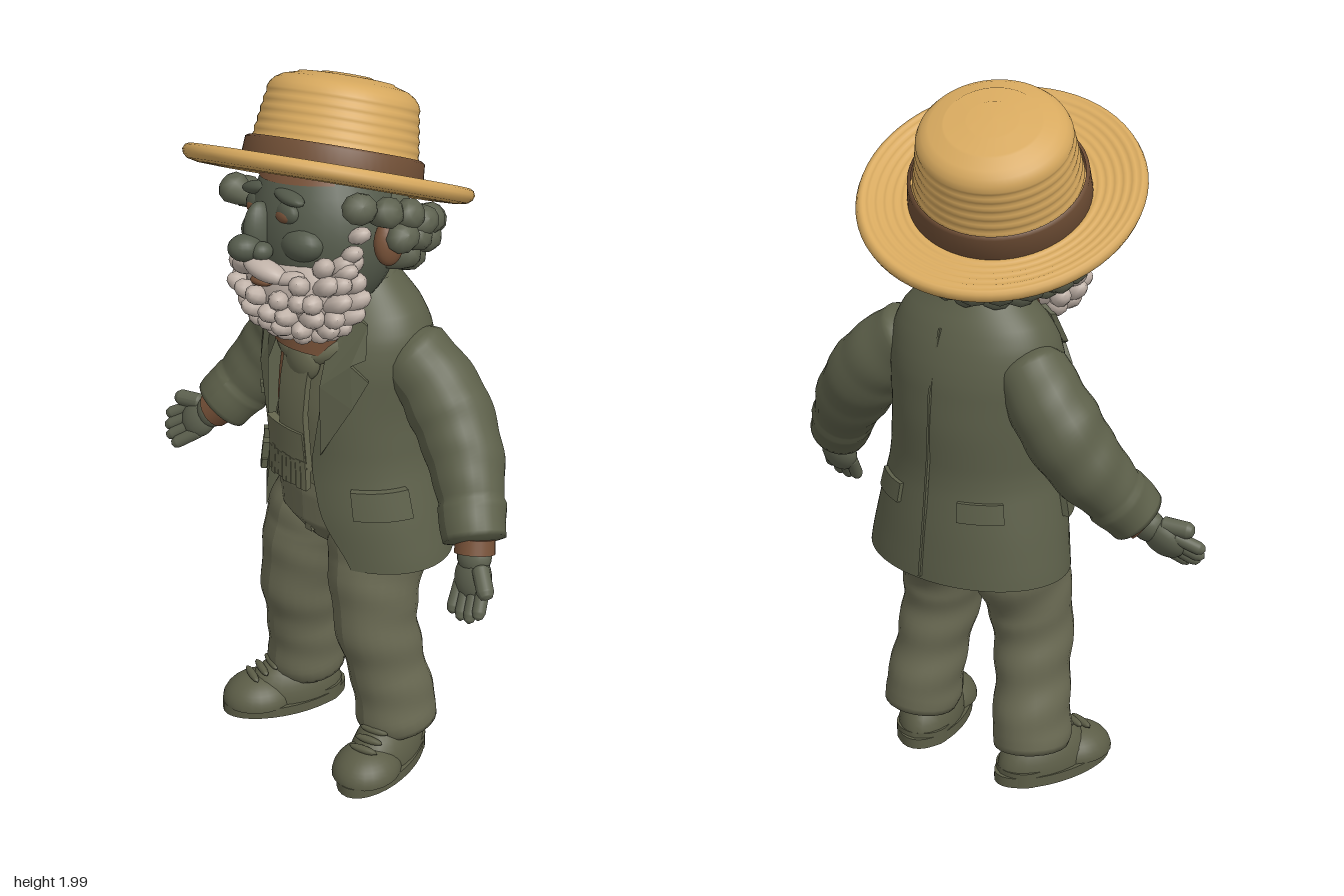
import * as THREE from 'three';

const mat = (name, color, side = THREE.FrontSide) => {
  const m = new THREE.MeshStandardMaterial({ color, side });
  m.name = name;
  return m;
};
const V = (x, y, z) => new THREE.Vector3(x, y, z);

export function createModel() {
  const M = {
    straw: mat('straw', 0xd6a85e, THREE.DoubleSide),
    band: mat('hat band brown', 0x6f4e35, THREE.DoubleSide),
    jacket: mat('jacket olive', 0x5d604a, THREE.DoubleSide),
    trousers: mat('trouser olive', 0x6a6a53),
    scarf: mat('scarf olive', 0x66674f, THREE.DoubleSide),
    face: mat('face green', 0x545a4b),
    hair: mat('hair green', 0x5e6250),
    beard: mat('beard grey', 0xc0b2a8),
    brown: mat('warm brown', 0x755037, THREE.DoubleSide),
    shoe: mat('shoe olive', 0x5c5d47),
  };
  const root = new THREE.Group();
  root.name = 'figure';
  let seed = 7;
  const rnd = () => (seed = (seed * 16807) % 2147483647) / 2147483647 - 0.5;
  const add = (name, geo, m, parent = root) => {
    const mesh = new THREE.Mesh(geo, m);
    mesh.name = name;
    parent.add(mesh);
    return mesh;
  };
  const group = (name, parent = root) => {
    const g = new THREE.Group();
    g.name = name;
    parent.add(g);
    return g;
  };
  const ball = (name, m, p, r, parent = root, seg = 20) => {
    const b = add(name, new THREE.SphereGeometry(1, seg, Math.round(seg * 0.7)), m, parent);
    b.position.set(...p);
    b.scale.set(...r);
    return b;
  };
  // piecewise linear lookup in rows of [key, value, value...]
  const lookup = (rows, k, col) => {
    let i = 0;
    while (i < rows.length - 2 && k > rows[i + 1][0]) i++;
    const t = THREE.MathUtils.clamp((k - rows[i][0]) / (rows[i + 1][0] - rows[i][0]), 0, 1);
    return THREE.MathUtils.lerp(rows[i][col], rows[i + 1][col], t);
  };
  const smooth = (rows, k, col) => (lookup(rows, k - 0.03, col) + lookup(rows, k, col) + lookup(rows, k + 0.03, col)) / 3;
  // limb of varying radius along a curve, with soft cloth folds
  const limb = (name, m, pts, radii, zScale = 1, fold = 0, parent = root) => {
    const curve = new THREE.CatmullRomCurve3(pts.map(p => V(...p)));
    const n = 48, seg = 24, geo = new THREE.TubeGeometry(curve, n, 1, seg);
    const pos = geo.attributes.position;
    for (let i = 0; i < pos.count; i++) {
      const t = Math.floor(i / (seg + 1)) / n, c = curve.getPointAt(t);
      const v = V(0, 0, 0).fromBufferAttribute(pos, i).sub(c);
      const ang = Math.atan2(v.z, v.x);
      v.multiplyScalar(lookup(radii, t, 1) * (1 + fold * Math.sin(t * 34 + 2 * Math.sin(ang))));
      v.z *= zScale;
      pos.setXYZ(i, c.x + v.x, c.y + v.y, c.z + v.z);
    }
    geo.computeVertexNormals();
    return add(name, geo, m, parent);
  };

  // Jacket surface: y, centre x, centre z, half width, half depth, left and right opening angles
  const torso = [
    [0.66, 0.02, -0.05, 0.305, 0.22, 0.62, 0.9], [0.8, 0.015, -0.04, 0.28, 0.22, 0.34, 0.62],
    [0.95, 0.01, -0.035, 0.245, 0.207, 0.24, 0.55], [1.1, 0, -0.035, 0.245, 0.215, 0.4, 0.5],
    [1.25, 0, -0.04, 0.255, 0.2, 0.42, 0.42], [1.35, 0, -0.045, 0.24, 0.165, 0.45, 0.45],
    [1.42, 0, -0.05, 0.18, 0.12, 0.55, 0.55], [1.46, 0, -0.04, 0.115, 0.1, 0.6, 0.6]];
  // vertices are (angle from the front, height, offset outwards)
  const wrap = geo => {
    const pos = geo.attributes.position;
    for (let i = 0; i < pos.count; i++) {
      const a = pos.getX(i), y = pos.getY(i), o = pos.getZ(i);
      const q = c => smooth(torso, y, c);
      pos.setXYZ(i, q(1) + (q(3) + o) * Math.sin(a), y, q(2) + (q(4) + o) * Math.cos(a));
    }
    geo.computeVertexNormals();
    return geo;
  };
  const wrapBox = (name, m, a, y, o, w, h, d, parent = root) =>
    add(name, wrap(new THREE.BoxGeometry(w, h, d, 10, 4, 1).translate(a, y, o)), m, parent);

  const jacket = group('jacket');
  const cloth = new THREE.PlaneGeometry(1, 0.8, 64, 40).translate(0.5, 1.06, 0);
  for (let i = 0, p = cloth.attributes.position; i < p.count; i++) {
    const l = smooth(torso, p.getY(i), 5), r = smooth(torso, p.getY(i), 6);
    p.setX(i, THREE.MathUtils.lerp(l, Math.PI * 2 - r, p.getX(i)));
  }
  add('jacketBody', wrap(cloth), M.jacket, jacket);
  add('vest', wrap(new THREE.PlaneGeometry(Math.PI * 2, 0.54, 48, 20).translate(0, 1.15, -0.02)), M.scarf);
  wrapBox('shirtStrip', M.brown, -0.29, 1.18, -0.014, 0.1, 0.3, 0.008);
  wrapBox('backSeam', M.jacket, Math.PI, 1.02, 0.003, 0.025, 0.7, 0.01, jacket);
  for (const s of [-1, 1]) {
    const lapel = new THREE.Shape([[0.42, 1.42], [0.85, 1.37], [0.86, 1.29], [0.7, 1.27], [0.92, 1.23], [0.78, 1.15], [0.42, 1.0], [0.4, 1.2]]
      .map(([a, y]) => new THREE.Vector2(a * s, y)));
    add('lapel', wrap(new THREE.ExtrudeGeometry(lapel, { depth: 0.014, bevelEnabled: false }).translate(0, 0, 0.004)), M.jacket, jacket);
    wrapBox('pocketFlap', M.jacket, s * 1.05, 0.865, 0.008, 0.66, 0.08, 0.022, jacket);
    wrapBox('backPocketFlap', M.jacket, Math.PI + s * 0.62, 0.88, 0.004, 0.5, 0.055, 0.014, jacket);
  }
  for (const y of [1.08, 0.94, 0.84]) wrapBox('button', M.jacket, -0.74, y, 0.01, 0.1, 0.028, 0.016, jacket);
  const collar = add('jacketCollar', new THREE.TorusGeometry(0.12, 0.028, 10, 32, Math.PI * 1.2), M.jacket, jacket);
  collar.rotation.set(-Math.PI / 2 + 0.4, 0, -Math.PI * 0.1);
  collar.position.set(0, 1.42, -0.01);

  // Scarf with a knot, a hanging end and a fringe
  const scarf = group('scarf');
  const loop = add('scarfLoop', new THREE.TorusGeometry(0.11, 0.032, 12, 36), M.scarf, scarf);
  loop.rotation.x = Math.PI / 2 + 0.55;
  loop.position.set(0, 1.32, 0.055);
  ball('scarfKnot', M.scarf, [0.02, 1.25, 0.15], [0.06, 0.065, 0.035], scarf);
  wrapBox('scarfEnd', M.scarf, 0.06, 1.1, 0.006, 0.36, 0.34, 0.024, scarf);
  wrapBox('scarfTail', M.scarf, -0.06, 1.0, 0.012, 0.58, 0.1, 0.024, scarf);
  for (let i = 0; i < 9; i++)
    wrapBox('fringe', M.scarf, -0.32 + i * 0.066, 0.925, 0.014, 0.06, 0.08 + rnd() * 0.02, 0.022, scarf);

  limb('neck', M.brown, [[0, 1.26, 0.09], [0, 1.38, 0.055], [0, 1.54, 0]], [[0, 0.11], [0.5, 0.135], [1, 0.14]]);

  // Trousers and shoes
  limb('hips', M.trousers, [[0.015, 0.98, -0.01], [0.015, 0.8, -0.01], [0.015, 0.62, -0.01]],
    [[0, 0.19], [0.4, 0.215], [0.65, 0.21], [0.85, 0.14], [1, 0.03]], 0.76);
  wrapBox('trouserFly', M.trousers, 0, 0.79, -0.045, 0.1, 0.16, 0.012);
  for (const s of [-1, 1]) {
    const X = d => 0.015 + s * d;
    limb('trouserLeg', M.trousers, [[X(0.1), 0.84, -0.01], [X(0.13), 0.66, -0.003], [X(0.155), 0.48, 0.025], [X(0.18), 0.28, -0.005], [X(0.2), 0.09, -0.035]],
      [[0, 0.09], [0.14, 0.118], [0.28, 0.13], [0.42, 0.113], [0.72, 0.1], [0.93, 0.108], [0.98, 0.1], [1, 0.02]], 1.12, 0.028);
    const shoe = group('shoe');
    shoe.position.set(X(0.212), 0, 0.05);
    shoe.rotation.y = s * 0.32;
    const sole = add('sole', new THREE.CylinderGeometry(1, 1, 0.03, 32), M.shoe, shoe);
    sole.scale.set(0.095, 1, 0.19);
    sole.position.y = 0.015;
    const heel = add('heel', new THREE.CylinderGeometry(0.078, 0.078, 0.045, 24), M.shoe, shoe);
    heel.position.set(0, 0.0225, -0.1);
    const dome = (name, z, r) => {
      const d = add(name, new THREE.SphereGeometry(1, 24, 10, 0, Math.PI * 2, 0, Math.PI / 2), M.shoe, shoe);
      d.position.set(0, 0.028, z);
      d.scale.set(...r);
    };
    dome('toeCap', 0.08, [0.095, 0.075, 0.108]);
    dome('upper', -0.03, [0.088, 0.12, 0.15]);
    for (let i = 0; i < 3; i++)
      ball('lace', M.shoe, [0, 0.135 - i * 0.014, 0.04 + i * 0.03], [0.045, 0.011, 0.012], shoe, 10);
  }

  // Arms and hands
  for (const [s, pts, rx, rz] of [
    [-1, [[-0.16, 1.3, -0.055], [-0.275, 1.18, -0.09], [-0.365, 1.04, -0.06], [-0.47, 0.865, 0.05]], -0.45, -0.82],
    [1, [[0.16, 1.3, -0.055], [0.295, 1.18, -0.085], [0.41, 1.04, -0.07], [0.54, 0.855, 0.01]], -0.3, 0.25]]) {
    limb('sleeve', M.jacket, pts, [[0, 0.05], [0.1, 0.1], [0.4, 0.112], [0.65, 0.102], [0.82, 0.086], [0.83, 0.092], [0.98, 0.084], [1, 0.03]], 1, 0.018);
    const hand = group('hand');
    hand.position.set(...pts[3]);
    hand.rotation.set(rx, 0, rz);
    const cuff = add('shirtCuff', new THREE.CylinderGeometry(0.052, 0.054, 0.04, 24), M.brown, hand);
    cuff.position.y = -0.002;
    ball('wrist', M.hair, [0, -0.03, 0], [0.05, 0.05, 0.04], hand);
    ball('palm', M.hair, [0, -0.085, 0], [0.058, 0.065, 0.036], hand);
    const finger = (name, a, b, r) => limb(name, M.hair, [a, b.map((v, i) => (v + a[i]) / 2), b],
      [[0, 0.01], [0.1, r], [0.8, r], [0.94, r * 0.7], [1, 0.002]], 1, 0, hand);
    for (let i = 0; i < 4; i++) {
      const x = (i - 1.5) * 0.027;
      finger('finger', [x, -0.09, 0], [x * 1.15, -0.21 + Math.abs(i - 1.6) * 0.014, 0.025], 0.018);
    }
    finger('thumb', [s * 0.03, -0.05, 0.01], [s * 0.08, -0.13, 0.03], 0.023);
  }

  // Head and face
  const head = group('head');
  head.position.set(0, 1.58, 0.05);
  head.rotation.set(-0.1, -0.16, 0.17);
  ball('skull', M.face, [0, 0.02, 0.005], [0.205, 0.235, 0.192], head, 32);
  const brow = add('forehead', new THREE.SphereGeometry(1, 32, 8, Math.PI * 0.14, Math.PI * 0.72, 0.65, 0.33), M.brown, head);
  brow.scale.set(0.212, 0.266, 0.202);
  ball('noseBridge', M.face, [0, 0.03, 0.2], [0.028, 0.07, 0.045], head);
  ball('noseTip', M.face, [0, -0.015, 0.243], [0.041, 0.036, 0.048], head);
  for (const s of [-1, 1]) {
    ball('nostril', M.face, [s * 0.034, -0.022, 0.215], [0.026, 0.025, 0.03], head);
    ball('cheek', M.face, [s * 0.095, 0.0, 0.13], [0.075, 0.05, 0.055], head);
    ball('eyelid', M.face, [s * 0.073, 0.077, 0.16], [0.046, 0.032, 0.024], head);
    ball('eye', M.brown, [s * 0.073, 0.07, 0.173], [0.03, 0.018, 0.014], head);
    ball('eyebrow', M.face, [s * 0.08, 0.118, 0.158], [0.062, 0.018, 0.026], head).rotation.z = -s * 0.15;
    ball('moustache', M.beard, [s * 0.048, -0.068, 0.215], [0.066, 0.028, 0.036], head).rotation.set(0, s * 0.4, -s * 0.3);
    ball('moustacheTip', M.beard, [s * 0.108, -0.084, 0.18], [0.042, 0.018, 0.024], head).rotation.set(0, s * 0.6, s * 0.2);
    ball('ear', M.brown, [s * 0.225, 0.0, -0.045], [0.03, 0.06, 0.042], head);
  }
  ball('lip', M.brown, [0.012, -0.104, 0.205], [0.042, 0.013, 0.024], head);

  // Beard of overlapping, pointed locks
  const lockGeo = new THREE.LatheGeometry([[0, -1], [0.4, -0.72], [0.75, -0.25], [1, 0.3], [0.85, 0.7], [0.45, 0.93], [0, 1]]
    .map(p => new THREE.Vector2(...p)), 10);
  const lock = (name, m, p, out, r, parent) => {
    const b = add(name, lockGeo, m, parent);
    b.position.set(...p);
    b.scale.set(...r);
    b.lookAt(p[0] + out[0], p[1] + out[1], p[2] + out[2]);
    b.rotateZ(rnd() * 0.9);
  };
  const beard = group('beard', head);
  ball('beardBase', M.beard, [0, -0.125, 0.07], [0.193, 0.13, 0.135], beard, 28);
  for (let row = 0; row < 6; row++) {
    const lat = 0.5 - row * 0.34, count = 13 - row;
    for (let i = 0; i < count; i++) {
      const a = (i / (count - 1) - 0.5) * 3.4 + rnd() * 0.12;
      if (row < 2 && Math.abs(a) < 1.1 - row * 0.35) continue;
      const d = [Math.sin(a) * Math.cos(lat), Math.sin(lat), Math.cos(a) * Math.cos(lat)];
      lock('beardLock', M.beard, [d[0] * 0.194, -0.125 + d[1] * 0.13, 0.065 + d[2] * 0.135], d, [0.029, 0.056 + rnd() * 0.014, 0.027], beard);
    }
  }
  for (const s of [-1, 1]) for (let i = 0; i < 3; i++)
    lock('sideburn', M.beard, [s * 0.197, 0.02 - i * 0.045, 0.035 + i * 0.02], [s, 0, 0.3], [0.028, 0.048, 0.022], beard);

  // Hat and the curls below it share one tilted frame
  const hat = group('hat');
  hat.position.set(-0.05, 1.69, 0);
  hat.quaternion.setFromUnitVectors(V(0, 1, 0), V(-0.22, 1, -0.43).normalize());
  const lathe = (name, pts, m) => add(name, new THREE.LatheGeometry(pts.map(p => new THREE.Vector2(...p)), 64), m, hat);
  const brim = [[0.215, -0.006], [0.28, -0.012], [0.33, -0.01], [0.357, -0.004], [0.368, 0.006], [0.372, 0.018], [0.367, 0.03], [0.358, 0.035]];
  for (let i = 1; i <= 24; i++)
    brim.push([0.358 - i * 0.0055, 0.035 - 0.017 * Math.sin(i / 24 * Math.PI / 2) + 0.0025 * Math.cos(i * Math.PI / 2)]);
  lathe('brim', brim, M.straw).scale.z = 1.06;
  const crown = [];
  for (let i = 0; i <= 32; i++) crown.push([0.232 - i * 0.001 + 0.002 * Math.cos(i * Math.PI / 2), i * 0.0066]);
  crown.push([0.196, 0.226], [0.184, 0.24], [0.165, 0.252], [0.13, 0.262], [0.125, 0.266], [0.07, 0.271], [0.065, 0.274], [0, 0.276]);
  lathe('crown', crown, M.straw).position.z = -0.008;
  lathe('hatBand', [[0.23, 0.01], [0.241, 0.016], [0.236, 0.078], [0.226, 0.084]], M.band).position.z = -0.008;

  const hair = group('hair', hat);
  ball('hairBase', M.hair, [0.02, -0.085, -0.06], [0.22, 0.12, 0.18], hair, 24);
  [[-0.068, 0.255, 2.05, 16], [-0.115, 0.25, 1.45, 12], [-0.16, 0.215, 1.15, 9]].forEach(([y, r, span, count]) => {
    for (let i = 0; i < count; i++) {
      const a = (i / (count - 1) - 0.5) * 2 * span + rnd() * 0.08;
      const d = [Math.sin(a), 0, -Math.cos(a)];
      lock('curl', M.hair, [0.02 + d[0] * r, y + rnd() * 0.012, d[2] * r], d, [0.048, 0.054 + rnd() * 0.008, 0.042], hair);
    }
  });
  return root;
}
